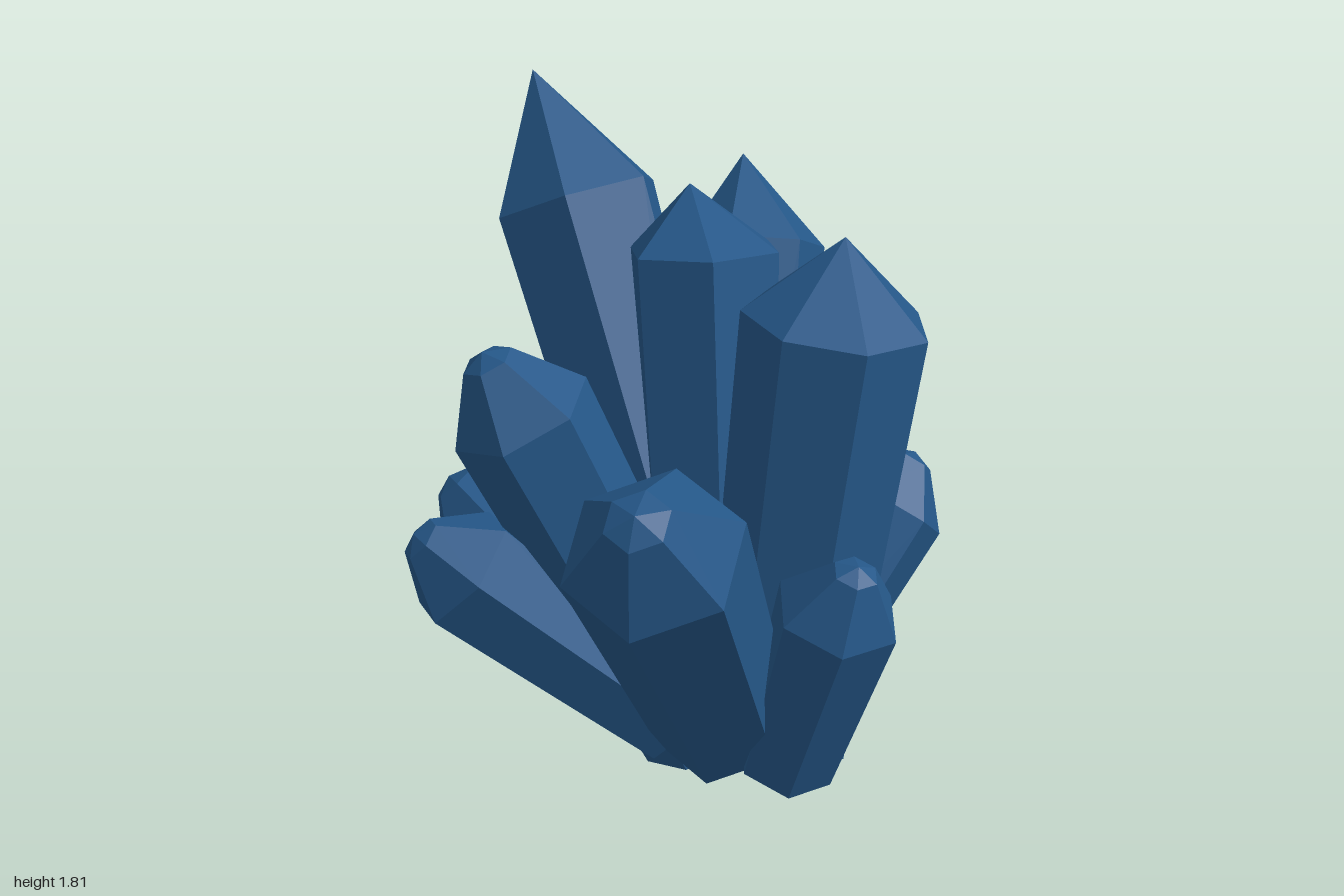
import * as THREE from 'three';

const TAPER = 0.8; // foot radius relative to shoulder radius

// One tapered crystal: foot ring, shoulder ring, pointed or bevelled tip.
// roll turns the edges, in degrees, from the downhill side of the prism.
function crystalGeometry({ foot, shoulder, tip, r, roll, blunt, sides = 6 }) {
  const a = new THREE.Vector3(...foot);
  const b = new THREE.Vector3(...shoulder);
  const t = new THREE.Vector3(...tip);

  const axis = b.clone().sub(a).normalize();
  const u = new THREE.Vector3(0, -1, 0).projectOnPlane(axis).normalize()
    .applyAxisAngle(axis, THREE.MathUtils.degToRad(roll));
  const v = axis.clone().cross(u);

  const positions = [];
  const addRing = (center, radius) => {
    for (let i = 0; i < sides; i++) {
      const angle = (i / sides) * Math.PI * 2;
      const p = center.clone()
        .addScaledVector(u, Math.cos(angle) * radius)
        .addScaledVector(v, Math.sin(angle) * radius);
      positions.push(p.x, p.y, p.z);
    }
  };
  addRing(a, r * TAPER);
  addRing(b, r);
  if (blunt) addRing(b.clone().lerp(t, 0.86), r * 0.36);

  const rings = blunt ? 3 : 2;
  const apex = rings * sides;
  positions.push(t.x, t.y, t.z, a.x, a.y, a.z);

  const index = [];
  for (let i = 0; i < sides; i++) {
    const j = (i + 1) % sides;
    for (let k = 0; k < rings - 1; k++) {
      const lo = k * sides, hi = lo + sides;
      index.push(lo + i, lo + j, hi + j, lo + i, hi + j, hi + i);
    }
    const top = (rings - 1) * sides;
    index.push(top + i, top + j, apex); // tip facet
    index.push(j, i, apex + 1);         // foot cap
  }

  const indexed = new THREE.BufferGeometry();
  indexed.setAttribute('position', new THREE.Float32BufferAttribute(positions, 3));
  indexed.setIndex(index);
  const geometry = indexed.toNonIndexed();
  geometry.computeVertexNormals();
  return geometry;
}

const CRYSTALS = [
  // pointed crystals
  { name: 'tallestCrystal', foot: [0.14, 0.15, 0.04], shoulder: [-0.525, 1.48, -0.51], tip: [-0.72, 1.81, -0.655], r: 0.258, roll: 28 },
  { name: 'tallRightCrystal', foot: [0.31, 0.08, 0.04], shoulder: [0.4, 1.41, -0.17], tip: [0.395, 1.63, -0.25], r: 0.275, roll: -70, sides: 7 },
  { name: 'tallCentreCrystal', foot: [0.13, 0.1, 0.04], shoulder: [-0.06, 1.47, -0.34], tip: [-0.14, 1.625, -0.44], r: 0.235, roll: 0 },
  { name: 'tallBackCrystal', foot: [0.15, 0.13, -0.03], shoulder: [-0.04, 1.31, -0.74], tip: [-0.13, 1.53, -0.885], r: 0.215, roll: -18 },
  { name: 'lowBackCrystal', foot: [0.22, 0.135, -0.07], shoulder: [0.26, 0.6, -0.81], tip: [0.285, 0.675, -1], r: 0.2, roll: 0 },
  { name: 'lowBackLeftCrystal', foot: [0.1, 0.14, -0.05], shoulder: [-0.2, 0.82, -0.73], tip: [-0.28, 0.92, -0.88], r: 0.18, roll: -15 },
  // bevelled crystals
  { name: 'frontCrystal', foot: [0.2, 0.23, 0.2], shoulder: [0.205, 1.145, 0.78], tip: [0.22, 1.365, 0.95], r: 0.26, roll: 3, blunt: true },
  { name: 'frontLeftCrystal', foot: [0.1, 0.12, 0.15], shoulder: [-0.36, 1.22, 0.33], tip: [-0.45, 1.425, 0.38], r: 0.21, roll: 17, blunt: true },
  { name: 'lowRightCrystal', foot: [0.41, 0.16, 0.24], shoulder: [0.575, 0.76, 0.31], tip: [0.64, 0.94, 0.34], r: 0.185, roll: 16, blunt: true },
  { name: 'lowFrontLeftCrystal', foot: [0.04, 0.2, 0.19], shoulder: [-0.5, 0.76, 0.46], tip: [-0.62, 0.88, 0.52], r: 0.19, roll: -12, blunt: true },
  { name: 'lowLeftCrystal', foot: [-0.03, 0.15, 0.1], shoulder: [-0.57, 0.7, 0.11], tip: [-0.7, 0.82, 0.1], r: 0.195, roll: 10, blunt: true },
  { name: 'lowBackRightCrystal', foot: [0.28, 0.17, 0.03], shoulder: [0.505, 0.695, -0.4], tip: [0.56, 0.835, -0.49], r: 0.185, roll: 17, blunt: true },
];

export function createModel() {
  const model = new THREE.Group();
  model.name = 'crystalCluster';
  const material = new THREE.MeshStandardMaterial({ color: 0x255788, flatShading: true });
  for (const spec of CRYSTALS) {
    const mesh = new THREE.Mesh(crystalGeometry(spec), material);
    mesh.name = spec.name;
    model.add(mesh);
  }
  return model;
}
